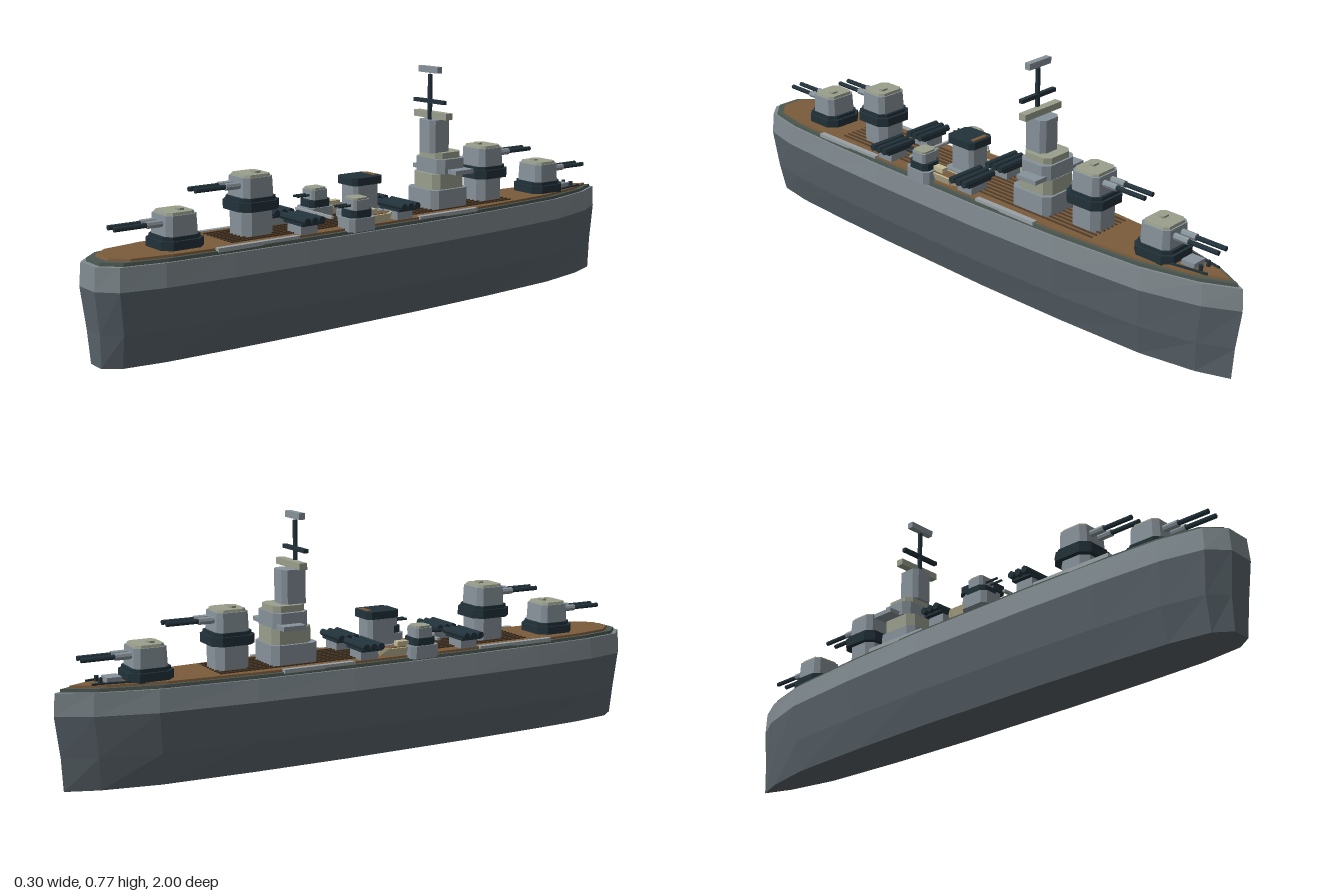
import * as THREE from 'three';

const mat = (name, color, extra = {}) => {
  const m = new THREE.MeshStandardMaterial({ color, flatShading: true, ...extra });
  m.name = name;
  return m;
};

// Half outline of the ship, bow to stern: [half width, z]
const HALF = [[0.055, -0.9], [0.105, -0.72], [0.13, -0.42], [0.143, -0.1], [0.143, 0.35],
  [0.137, 0.6], [0.125, 0.82], [0.098, 0.95], [0.045, 1]];

// Counterclockwise (seen from above) ship ring scaled in width and length
const shipRing = (kx, kz) => [[0, -kz],
  ...HALF.map(([x, z]) => [-x * kx, z * kz]),
  ...[...HALF].reverse().map(([x, z]) => [x * kx, z * kz])];

// Box ring with cut corners
const cutRing = (w, d, c) => [[w - c, -d], [c - w, -d], [-w, c - d], [-w, d - c],
  [c - w, d], [w - c, d], [w, d - c], [w, c - d]];

// Convex solid through stacked rings: levels are [y, ring]
function loft(levels) {
  const pos = [], idx = [], n = levels[0][1].length, top = (levels.length - 1) * n;
  for (const [y, ring] of levels) for (const [x, z] of ring) pos.push(x, y, z);
  for (let l = 0; l < levels.length - 1; l++) {
    for (let i = 0; i < n; i++) {
      const a = l * n + i, b = l * n + (i + 1) % n;
      idx.push(a, b, b + n, a, b + n, a + n);
    }
  }
  for (let i = 1; i < n - 1; i++) idx.push(0, i + 1, i, top, top + i, top + i + 1);
  const g = new THREE.BufferGeometry();
  g.setAttribute('position', new THREE.Float32BufferAttribute(pos, 3));
  g.setIndex(idx);
  const flat = g.toNonIndexed();
  flat.computeVertexNormals();
  return flat;
}

export function createModel() {
  const M = {
    hull: mat('hull grey', 0x7f898e),
    lower: mat('lower hull grey', 0x59636a),
    grey: mat('superstructure grey', 0x87929a),
    pale: mat('pale grey', 0x99a1a5),
    khaki: mat('khaki grey', 0x999f8c),
    dark: mat('dark slate', 0x22323a),
    rim: mat('deck edge green grey', 0x4c5751),
    wood: mat('deck wood', 0x7b5c3b),
    plank: mat('dark plank', 0x533f2b),
    cream: mat('boat cream', 0xc4ba97),
  };
  const ship = new THREE.Group();
  ship.name = 'warship';

  const add = (parent, name, geo, m, x = 0, y = 0, z = 0) => {
    const mesh = new THREE.Mesh(geo, m);
    mesh.name = name;
    mesh.position.set(x, y, z);
    parent.add(mesh);
    return mesh;
  };
  const box = (p, name, m, w, h, d, x, y, z) =>
    add(p, name, new THREE.BoxGeometry(w, h, d), m, x, y, z);
  // Cut-corner block from y0 to y1, half sizes w and d, top scaled by k
  const block = (p, name, m, w, d, c, y0, y1, x = 0, z = 0, k = 1) =>
    add(p, name, loft([[y0, cutRing(w, d, c)], [y1, cutRing(w * k, d * k, c * k)]]), m, x, 0, z);
  const rod = (p, name, m, r, len, axis, x, y, z, sides = 8) => {
    const g = new THREE.CylinderGeometry(r, r, len, sides);
    if (axis === 'x') g.rotateZ(Math.PI / 2);
    if (axis === 'z') g.rotateX(Math.PI / 2);
    return add(p, name, g, m, x, y, z);
  };
  const group = (name, x = 0, y = 0, z = 0) => {
    const g = new THREE.Group();
    g.name = name;
    g.position.set(x, y, z);
    ship.add(g);
    return g;
  };

  // Hull and deck
  add(ship, 'lowerHull', loft([[0, shipRing(0.68, 0.98)], [0.1, shipRing(0.89, 0.985)],
    [0.225, shipRing(1, 1)]]), M.lower);
  add(ship, 'upperHull', loft([[0.225, shipRing(1, 1)], [0.294, shipRing(0.95, 0.995)]]), M.hull);
  add(ship, 'deckEdge', loft([[0.294, shipRing(0.9, 0.98)], [0.304, shipRing(0.89, 0.978)]]), M.rim);
  add(ship, 'deck', loft([[0.3, shipRing(0.82, 0.955)], [0.311, shipRing(0.81, 0.95)]]), M.wood);
  for (let i = -4; i <= 4; i++) {
    box(ship, 'deckPlank', M.plank, 0.005, 0.005, 1.1, i * 0.019, 0.3125, 0.03);
  }
  for (const s of [-1, 1]) {
    box(ship, 'sideWalkway', M.pale, 0.018, 0.012, 0.28, s * 0.115, 0.307, 0.51);
    box(ship, 'sideWalkway', M.pale, 0.018, 0.012, 0.24, s * 0.115, 0.307, -0.21);
  }

  // Main gun turrets
  const turret = (z, dir, raised) => {
    const g = group('mainTurret', 0, 0, z);
    if (dir < 0) g.rotation.y = Math.PI;
    const y = raised ? 0.425 : 0.345;
    if (raised) block(g, 'barbette', M.grey, 0.054, 0.054, 0.022, 0.31, 0.4);
    block(g, 'turretRing', M.dark, 0.07, 0.07, 0.026, y - 0.036, y - 0.008, 0, 0);
    block(g, 'turretCollar', M.dark, 0.062, 0.062, 0.022, y - 0.01, y + 0.003);
    block(g, 'gunHouse', M.grey, 0.057, 0.053, 0.016, y, y + 0.062, 0, 0, 0.95);
    block(g, 'gunHouseRoof', M.khaki, 0.05, 0.046, 0.014, y + 0.06, y + 0.07, 0, 0, 0.95);
    block(g, 'roofHatch', M.khaki, 0.014, 0.01, 0.004, y + 0.069, y + 0.076, 0.01, -0.012);
    for (const x of [-0.018, 0.018]) {
      rod(g, 'gunSleeve', M.grey, 0.011, 0.05, 'z', x, y + 0.039, 0.075);
      rod(g, 'gunBarrel', M.dark, 0.0075, 0.155, 'z', x, y + 0.039, 0.123);
    }
  };
  turret(0.72, 1, false);
  turret(0.46, 1, true);
  turret(-0.46, -1, true);
  turret(-0.72, -1, false);

  // Bridge tower
  const bridge = group('bridge', 0, 0, -0.265);
  block(bridge, 'bridgeBase', M.grey, 0.075, 0.077, 0.02, 0.31, 0.375);
  block(bridge, 'bridgeMiddle', M.khaki, 0.064, 0.066, 0.02, 0.375, 0.425, 0, -0.004);
  box(bridge, 'bridgeWing', M.grey, 0.218, 0.014, 0.075, 0, 0.432, -0.022);
  block(bridge, 'bridgeUpper', M.grey, 0.07, 0.058, 0.02, 0.425, 0.472, 0, -0.01);
  block(bridge, 'bridgeRoof', M.khaki, 0.056, 0.053, 0.018, 0.472, 0.492, 0, -0.008);
  block(bridge, 'tower', M.grey, 0.039, 0.041, 0.014, 0.49, 0.597, 0, 0.016);
  box(bridge, 'rangefinder', M.khaki, 0.16, 0.021, 0.026, 0, 0.611, 0.022);
  rod(bridge, 'mast', M.dark, 0.0075, 0.15, 'y', 0, 0.668, 0.035);
  box(bridge, 'mastYard', M.dark, 0.148, 0.012, 0.014, 0, 0.656, 0.035);
  box(bridge, 'mastArray', M.grey, 0.094, 0.02, 0.02, 0, 0.758, 0.035);

  // Funnel
  const funnel = group('funnel', 0, 0, 0.055);
  block(funnel, 'funnelBase', M.grey, 0.055, 0.062, 0.014, 0.31, 0.335);
  block(funnel, 'funnelBody', M.grey, 0.041, 0.048, 0.012, 0.33, 0.425);
  block(funnel, 'funnelCap', M.dark, 0.05, 0.058, 0.014, 0.42, 0.444);
  box(funnel, 'funnelVent', M.wood, 0.06, 0.006, 0.014, 0, 0.444, -0.042);

  // Triple tube launchers on both sides
  for (const z of [-0.035, 0.33]) {
    for (const s of [-1, 1]) {
      const g = group('tubeLauncher', s * 0.08, 0, z);
      box(g, 'launcherBase', M.grey, 0.07, 0.035, 0.06, 0, 0.325, 0);
      box(g, 'launcherCradle', M.dark, 0.1, 0.008, 0.07, 0, 0.343, 0);
      for (const dz of [-0.026, 0, 0.026]) {
        rod(g, 'launchTube', M.dark, 0.0115, 0.13, 'x', 0, 0.355, dz);
      }
    }
  }

  // Boats and side guns
  const boatRing = (w, l) => [[0, -l], [-w, -l * 0.6], [-w, l * 0.8], [-w * 0.6, l],
    [w * 0.6, l], [w, l * 0.8], [w, -l * 0.6]];
  for (const s of [-1, 1]) {
    const boat = group('boat', s * 0.096, 0, 0.075);
    add(boat, 'boatHull', loft([[0.312, boatRing(0.015, 0.065)], [0.338, boatRing(0.025, 0.075)]]), M.cream);
    add(boat, 'boatFloor', loft([[0.338, boatRing(0.017, 0.062)], [0.34, boatRing(0.017, 0.062)]]), M.wood);
    box(boat, 'boatCabin', M.cream, 0.024, 0.016, 0.04, 0, 0.347, 0.015);

    const gun = group('sideGun', s * 0.108, 0, 0.15);
    block(gun, 'sponson', M.grey, 0.042, 0.05, 0.014, 0.302, 0.343);
    block(gun, 'sideGunRing', M.dark, 0.037, 0.04, 0.014, 0.343, 0.366);
    block(gun, 'sideGunHouse', M.grey, 0.032, 0.03, 0.008, 0.364, 0.397);
    block(gun, 'sideGunRoof', M.khaki, 0.028, 0.026, 0.008, 0.396, 0.403);
    for (const x of [-0.01, 0.01]) {
      rod(gun, 'sideGunBarrel', M.dark, 0.004, 0.05, 'z', x, 0.38, 0.05, 6);
    }
  }

  // Midship crane
  block(ship, 'cranePedestal', M.grey, 0.02, 0.018, 0.006, 0.31, 0.345, 0, 0.23);
  box(ship, 'craneBeam', M.pale, 0.19, 0.008, 0.01, 0, 0.345, 0.23);

  // Bow fittings
  box(ship, 'windlass', M.grey, 0.05, 0.016, 0.045, 0, 0.318, -0.825);
  for (const s of [-1, 1]) {
    const chain = box(ship, 'anchorChain', M.dark, 0.007, 0.006, 0.12, s * 0.038, 0.313, -0.835);
    chain.rotation.y = s * 0.18;
    rod(ship, 'bollard', M.dark, 0.007, 0.02, 'y', s * 0.018, 0.318, -0.865, 6);
  }
  return ship;
}
